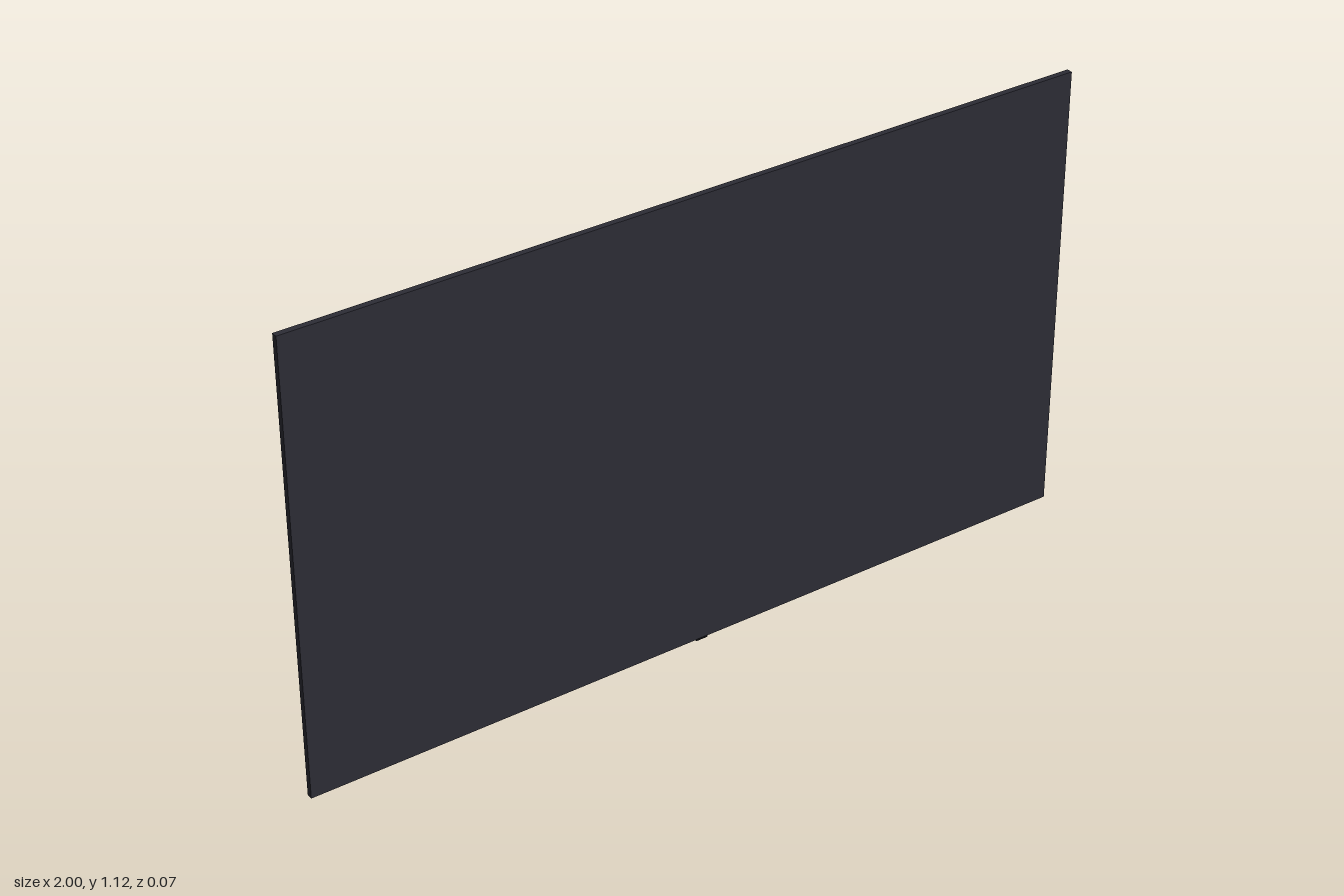
import * as THREE from 'three';
import { RoundedBoxGeometry } from 'three/addons/geometries/RoundedBoxGeometry.js';

const material = (name, color) => {
  const m = new THREE.MeshStandardMaterial({ color });
  m.name = name;
  return m;
};

export function createModel() {
  const group = new THREE.Group();
  const dark = material('dark casing', 0x2c2c35);
  const black = material('black trim', 0x141416);
  const grey = material('grey steel', 0x696969);

  const add = (name, geometry, mat, x = 0, y = 0, z = 0) => {
    const mesh = new THREE.Mesh(geometry, mat);
    mesh.name = name;
    mesh.position.set(x, y, z);
    group.add(mesh);
    return mesh;
  };
  // Box given by its limits on each axis
  const box = (name, mat, [x0, x1], [y0, y1], [z0, z1]) =>
    add(name, new THREE.BoxGeometry(x1 - x0, y1 - y0, z1 - z0), mat,
      (x0 + x1) / 2, (y0 + y1) / 2, (z0 + z1) / 2);

  // Thin screen and the small sensor under its lower edge
  box('screenPanel', dark, [-1, 1], [0.003, 1.122], [0.018, 0.033]);
  box('sensor', black, [-0.015, 0.015], [0, 0.004], [0.022, 0.034]);

  // Electronics housing with softened edges
  add('rearHousing', new RoundedBoxGeometry(1.24, 0.65, 0.031, 3, 0.007), dark, 0, 0.395, 0.0035);

  // Vent slots along the top of the housing
  for (let i = 0; i < 12; i++) {
    const x = -0.55 + i * 0.1;
    box('ventSlot', black, [x - 0.025, x + 0.025], [0.7195, 0.7205], [0.001, 0.005]);
  }

  // Sockets on the right side
  for (let i = 0; i < 4; i++) {
    const y = 0.35 + i * 0.022;
    box('socket', black, [-0.6208, -0.6195], [y - 0.006, y + 0.006], [0, 0.007]);
  }

  // Wall bracket: back plate, two upright rails and a cross bar
  box('bracketPlate', grey, [-0.203, 0.203], [0.255, 0.535], [-0.016, -0.011]);
  for (const side of [-1, 1]) {
    const x = side * 0.172;
    box('uprightRail', grey, [x - 0.016, x + 0.016], [0.23, 0.56], [-0.031, -0.016]);
  }
  box('crossBar', grey, [-0.23, 0.23], [0.37, 0.42], [-0.035, -0.031]);

  // Power cable hanging from the right side
  const path = new THREE.CatmullRomCurve3([
    new THREE.Vector3(-0.617, 0.365, 0.002),
    new THREE.Vector3(-0.626, 0.345, -0.007),
    new THREE.Vector3(-0.632, 0.29, -0.014),
    new THREE.Vector3(-0.642, 0.085, -0.032),
  ]);
  add('powerCable', new THREE.TubeGeometry(path, 24, 0.002, 8), black);

  return group;
}
